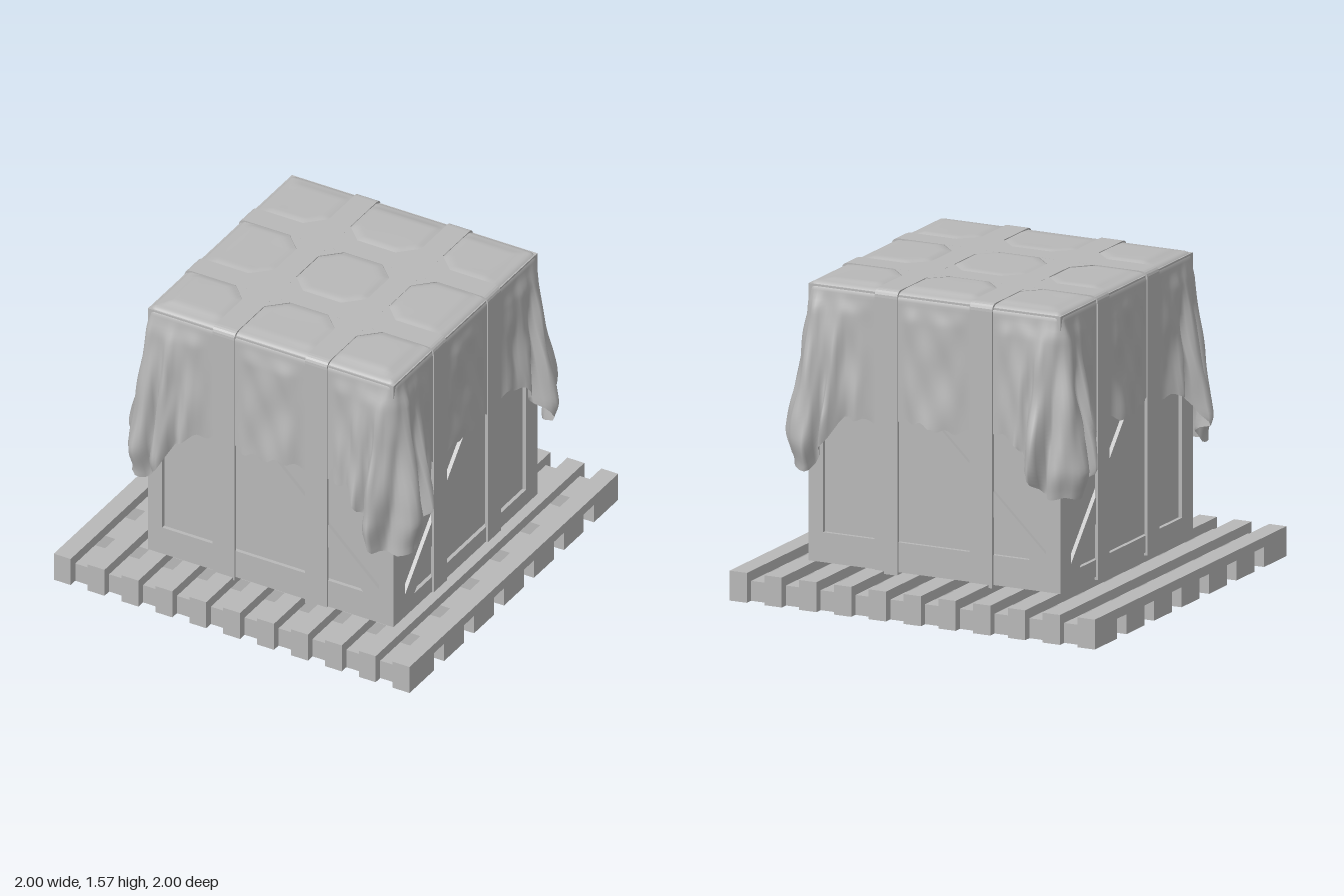
import * as THREE from 'three';

const CX = 0.063, CZ = 0.043;         // centre of the load on the pallet
const HALF = 0.69;                    // half width of the crate
const STRAP = 0.26, STRAP_W = 0.124;  // strap offset and width
const CORE = 0.655, R = 0.04, TOP = 1.552; // flat part, edge radius and height of the cloth

const gray = new THREE.MeshStandardMaterial({ color: 0xb8b8b8 });
const clothGray = new THREE.MeshStandardMaterial({ color: 0xb8b8b8, side: THREE.DoubleSide });
gray.name = 'gray';
clothGray.name = 'clothGray';

const smooth = THREE.MathUtils.smoothstep;

function add(parent, name, geometry, x = 0, y = 0, z = 0, material = gray) {
  const mesh = new THREE.Mesh(geometry, material);
  mesh.name = name;
  mesh.position.set(x, y, z);
  parent.add(mesh);
  return mesh;
}

function polygon(points) {
  return new THREE.Shape(points.map(([x, y]) => new THREE.Vector2(x, y)));
}

function rect(h, y0, y1) {
  return [[-h, y0], [h, y0], [h, y1], [-h, y1]];
}

function extrude(shape, depth) {
  return new THREE.ExtrudeGeometry(shape, { depth, bevelEnabled: false, curveSegments: 5 });
}

// Pallet: planks along x below, slats along z with feet at both ends
function makePallet() {
  const pallet = new THREE.Group();
  pallet.name = 'pallet';
  for (let i = -3; i <= 3; i++) {
    add(pallet, 'bottomPlank', new THREE.BoxGeometry(2, 0.1, 0.19), 0, 0.05, i * 0.287);
  }
  for (let i = -5; i <= 5; i++) {
    const x = i * 0.1905;
    add(pallet, 'topSlat', new THREE.BoxGeometry(0.095, 0.05, 2), x, 0.125, 0);
    for (const s of [-1, 1]) {
      add(pallet, 'slatFoot', new THREE.BoxGeometry(0.095, 0.1, 0.044), x, 0.05, s * 0.978);
    }
  }
  return pallet;
}

// Crate: a box with a raised frame and a diagonal brace on each side
function makeCrate() {
  const crate = new THREE.Group();
  crate.name = 'crate';
  const depth = 0.02, inner = HALF - depth, top = 1.43;
  add(crate, 'crateBody', new THREE.BoxGeometry(inner * 2, 1.39, inner * 2), 0, 0.845, 0);
  for (let k = 0; k < 4; k++) {
    const facing = k % 2 === 0;
    const side = new THREE.Group();
    side.name = 'crateSide';
    side.rotation.y = k * Math.PI / 2;
    const h = facing ? 0.61 : 0.58, low = facing ? 0.3 : 0.235, m = facing ? 1 : -1;
    const frame = polygon(rect(facing ? HALF : inner, 0.15, 1.54));
    frame.holes.push(polygon(rect(h, low, top)));
    add(side, 'sideFrame', extrude(frame, depth), 0, 0, inner);
    const brace = [[h - 0.09, low], [h, low], [h, low + 0.04],
      [-h + 0.09, top], [-h, top], [-h, top - 0.04]].map(([x, y]) => [x * m, y]);
    add(side, 'diagonalBrace', extrude(polygon(brace), depth), 0, 0, inner);
    crate.add(side);
  }
  return crate;
}

// Straps: closed loops around the load, with flat gussets where they cross on top
function makeStraps() {
  const straps = new THREE.Group();
  straps.name = 'straps';
  const o = 0.701, y0 = 0.135, y1 = 1.559, r = 0.04;
  const loop = new THREE.Shape();
  loop.moveTo(-o, y0);
  loop.lineTo(o, y0);
  loop.lineTo(o, y1 - r);
  loop.quadraticCurveTo(o, y1, o - r, y1);
  loop.lineTo(-o + r, y1);
  loop.quadraticCurveTo(-o, y1, -o, y1 - r);
  loop.holes.push(polygon(rect(0.685, 0.15, 1.535)));
  for (const turn of [0, Math.PI / 2]) {
    for (const s of [-1, 1]) {
      const holder = new THREE.Group();
      holder.name = 'strapHolder';
      holder.rotation.y = turn;
      add(holder, 'strap', extrude(loop, STRAP_W), 0, 0, s * STRAP - STRAP_W / 2);
      straps.add(holder);
    }
  }
  for (const x of [-STRAP, STRAP]) {
    for (const z of [-STRAP, STRAP]) {
      add(straps, 'strapGusset', new THREE.CylinderGeometry(0.215, 0.215, 0.008, 4), x, 1.5548, z);
    }
  }
  return straps;
}

// Top of the cloth: padded between the straps
function makeClothTop() {
  const geo = new THREE.PlaneGeometry(CORE * 2, CORE * 2, 72, 72).rotateX(-Math.PI / 2);
  const p = geo.attributes.position;
  for (let i = 0; i < p.count; i++) {
    const x = p.getX(i), z = p.getZ(i);
    const ax = Math.abs(Math.abs(x) - STRAP), az = Math.abs(Math.abs(z) - STRAP);
    const gap = Math.min(ax - 0.062, az - 0.062, (ax + az - 0.215) * 0.7);
    const rim = CORE - Math.max(Math.abs(x), Math.abs(z));
    const pad = smooth(gap, -0.015, 0.03) * smooth(rim, 0, 0.06);
    p.setY(i, TOP + pad * (0.012 + 0.004 * Math.sin(5 * x + 3 * z) * Math.cos(6 * z)));
  }
  geo.computeVertexNormals();
  return geo;
}

// Outward bulge of the hanging cloth: e = signed distance from corner c, t = 0 top to 1 low
function bulge(u, e, c, t, k) {
  const d = Math.abs(e);
  const strapGap = Math.abs(Math.abs(u) - STRAP) - STRAP_W / 2;
  const free = smooth(strapGap, 0, 0.09);
  const near = Math.exp(-(((d - 0.09) / 0.14) ** 2));
  const fold = 0.62 + 0.38 * Math.cos(Math.PI * 2 * e / 0.125 + 2.6 + c * 0.8 + 1.6 * t)
    + 0.13 * Math.sin(e * 95 + 7 * t + c * 2);
  const tuck = 1 - 0.4 * smooth(t, 0.85, 1.05);
  const ear = 0.155 * t * tuck * near * fold;
  const ripple = 0.006 * Math.sin(u * 17 + 5 * t + k * 2) * Math.sin(t * 8 + u * 6 + k)
    + 0.004 * Math.sin(u * 38 - t * 15 + k);
  const sag = 0.012 + 0.022 * smooth(t, 0.35, 0.75) * (0.6 + 0.4 * Math.sin(u * 21 + k));
  return Math.max(0, ear * smooth(strapGap, 0, 0.05) + (sag + ripple) * free * smooth(t, 0, 0.12));
}

// Lower edge: high along the sides, hanging down in points at the corners
function hem(u, d, c, k) {
  const corner = [0.60, 0.62, 0.64, 0.61][c];
  const rise = smooth(d, 0.015, 0.26);
  return corner + (0.905 - corner) * rise
    + 0.014 * rise * Math.sin(u * 15 + k * 1.7) + 0.012 * Math.sin(d * 60 + c);
}

// Skirt of the cloth: rings around the load, rounded over the edge and falling to the hem
function makeClothSkirt() {
  const columns = [];
  const N = 72, FAN = 8, edge = CORE + R;
  for (let k = 0; k < 4; k++) {
    for (let i = 0; i < N + FAN; i++) {
      const u = i <= N ? -CORE + 2 * CORE * i / N : CORE;
      const f = i <= N ? 0 : (i - N) / FAN;
      const c = u < 0 ? (k + 3) % 4 : k;
      const e = i > N ? -R + 2 * R * f : u < 0 ? u + edge : u - edge;
      columns.push({ k, u, e, c, base: k * Math.PI / 2, a: (k + f) * Math.PI / 2 });
    }
  }
  const ARC = 5, ROWS = 38, rows = ARC + ROWS, pos = [], index = [];
  for (const { k, u, e, c, base, a } of columns) {
    const bottom = hem(u, Math.abs(e), c, k);
    for (let j = 0; j <= rows; j++) {
      let out, y;
      if (j <= ARC) {
        const q = j / ARC * Math.PI / 2;
        out = R * Math.sin(q);
        y = TOP - R + R * Math.cos(q);
      } else {
        y = THREE.MathUtils.lerp(TOP - R, bottom, (j - ARC) / ROWS);
        out = R + bulge(u, e, c, (TOP - R - y) / 0.85, k);
      }
      pos.push(u * Math.cos(base) + CORE * Math.sin(base) + out * Math.sin(a), y,
        -u * Math.sin(base) + CORE * Math.cos(base) + out * Math.cos(a));
    }
  }
  const n = columns.length, w = rows + 1;
  for (let i = 0; i < n; i++) {
    for (let j = 0; j < rows; j++) {
      const p = i * w + j, q = ((i + 1) % n) * w + j;
      index.push(p, p + 1, q, q, p + 1, q + 1);
    }
  }
  const geo = new THREE.BufferGeometry();
  geo.setAttribute('position', new THREE.Float32BufferAttribute(pos, 3));
  geo.setIndex(index);
  geo.computeVertexNormals();
  return geo;
}

export function createModel() {
  const model = new THREE.Group();
  model.name = 'coveredCrateOnPallet';
  const load = new THREE.Group();
  load.name = 'load';
  load.position.set(CX, 0, CZ);
  load.add(makeCrate(), makeStraps());
  add(load, 'clothTop', makeClothTop(), 0, 0, 0, clothGray);
  add(load, 'clothSkirt', makeClothSkirt(), 0, 0, 0, clothGray);
  model.add(makePallet(), load);
  return model;
}
